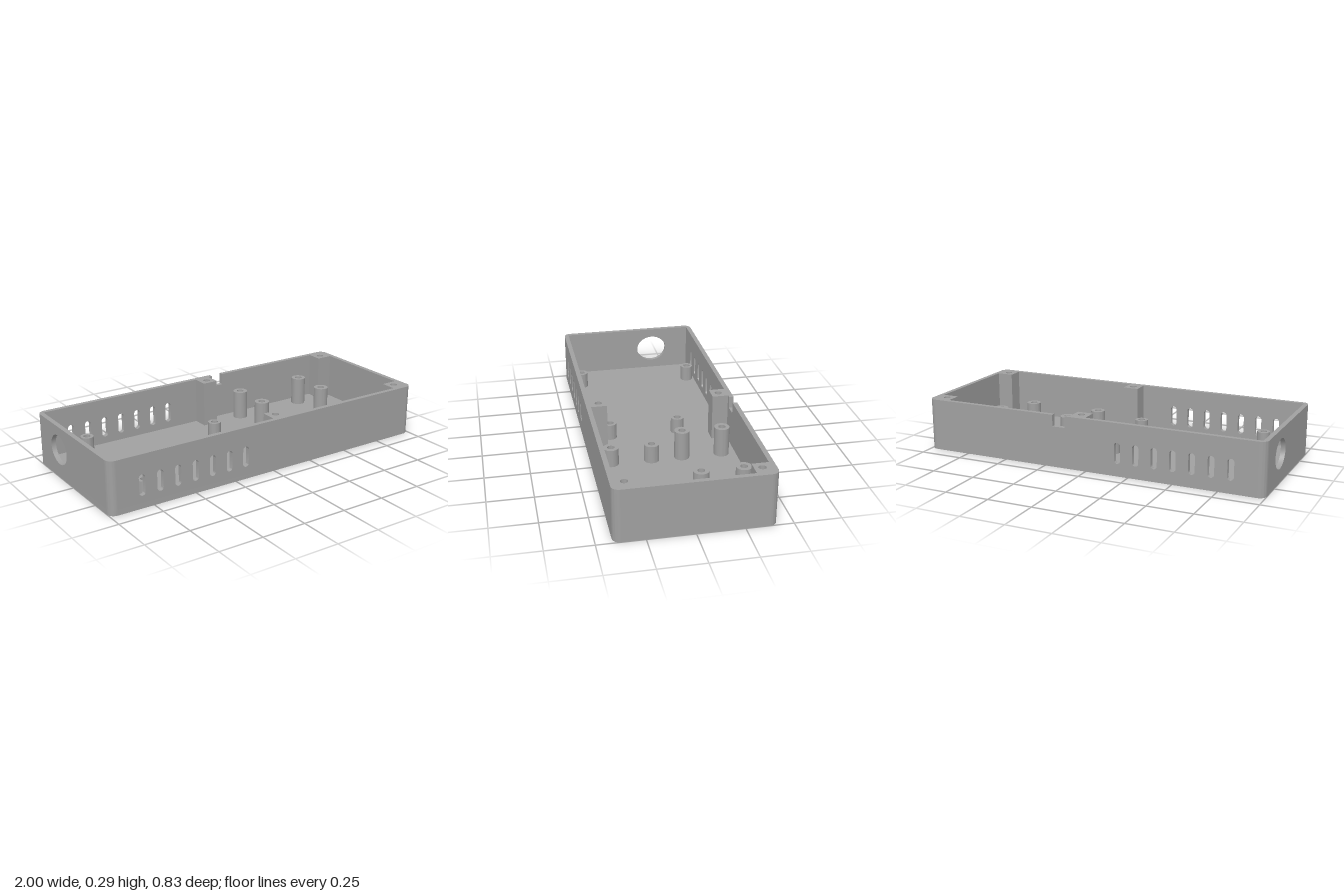
import * as THREE from 'three';
import { toCreasedNormals } from 'three/addons/utils/BufferGeometryUtils.js';

const W = 1, D = 0.415, H = 0.295;      // half width, half depth, height
const T = 0.026, R = 0.04;              // wall thickness, corner radius
const FLOOR = 0.03, POCKET = 0.014;     // floor thickness, foot pocket depth

const grey = new THREE.MeshStandardMaterial({ color: 0xa0a0a0 });
grey.name = 'grey plastic';

const polygon = (pts) => new THREE.Shape(pts.map(([x, y]) => new THREE.Vector2(x, y)));
const rect = (x0, y0, x1, y1) => polygon([[x0, y0], [x1, y0], [x1, y1], [x0, y1]]);

function circle(x, y, r, Type = THREE.Path) {
  const c = new Type();
  c.absarc(x, y, r, 0, Math.PI * 2, false);
  return c;
}

// Vertical round-ended slot
function slot(x, y0, y1, r) {
  const p = new THREE.Path();
  p.absarc(x, y1 - r, r, 0, Math.PI, false);
  p.absarc(x, y0 + r, r, Math.PI, Math.PI * 2, false);
  p.closePath();
  return p;
}

function roundedRect(w, d, r) {
  const s = new THREE.Shape();
  s.absarc(w - r, d - r, r, 0, Math.PI / 2, false);
  s.absarc(-w + r, d - r, r, Math.PI / 2, Math.PI, false);
  s.absarc(-w + r, -d + r, r, Math.PI, Math.PI * 1.5, false);
  s.absarc(w - r, -d + r, r, Math.PI * 1.5, Math.PI * 2, false);
  s.closePath();
  return s;
}

const extrude = (shape, depth) =>
  new THREE.ExtrudeGeometry(shape, { depth, bevelEnabled: false, curveSegments: 16 });

export function createModel() {
  const model = new THREE.Group();
  model.name = 'enclosure';

  const add = (name, geometry) => {
    const mesh = new THREE.Mesh(toCreasedNormals(geometry, 0.6), grey);
    mesh.name = name;
    model.add(mesh);
    return mesh;
  };
  // Plan outline (x, z) raised from y0 to y1
  const raise = (name, shape, y0, y1) =>
    add(name, extrude(shape, y1 - y0).rotateX(Math.PI / 2).translate(0, y1, 0));

  // Floor, with four round foot pockets underneath
  const underside = roundedRect(W, D, R);
  for (const x of [-0.85, 0.85])
    for (const z of [-0.255, 0.255]) underside.holes.push(circle(x, z, 0.078));
  raise('floorUnderside', underside, 0, POCKET);
  raise('floor', roundedRect(W, D, R), POCKET, FLOOR);

  // Long walls with vent slots; the back one has a cable notch in its rim
  const ventSlots = () =>
    Array.from({ length: 7 }, (_, i) => slot(-0.818 + i * 0.105, 0.07, 0.187, 0.018));
  const e = W - R;
  const front = rect(-e, FLOOR, e, H);
  front.holes = ventSlots();
  add('frontWall', extrude(front, T).translate(0, 0, D - T));
  const back = polygon([[-e, FLOOR], [e, FLOOR], [e, H], [0.198, H],
    [0.198, H - 0.065], [0.124, H - 0.065], [0.124, H], [-e, H]]);
  back.holes = ventSlots();
  add('backWall', extrude(back, T).translate(0, 0, -D));

  // End walls; the right one has a connector opening
  const f = D - R;
  add('leftWall', extrude(rect(-f, FLOOR, f, H), T).rotateY(Math.PI / 2).translate(W - T, 0, 0));
  const right = rect(-f, FLOOR, f, H);
  const opening = new THREE.Path();
  opening.absellipse(0.155, 0.162, 0.094, 0.082, 0, Math.PI * 2, false);
  right.holes.push(opening);
  add('rightWall', extrude(right, T).rotateY(Math.PI / 2).translate(-W, 0, 0));

  // Corners, round outside and square inside
  for (const sx of [-1, 1])
    for (const sz of [-1, 1]) {
      const pts = [];
      for (let i = 0; i <= 12; i++) {
        const a = (i / 12) * Math.PI / 2;
        pts.push([sx * (W - R + R * Math.cos(a)), sz * (D - R + R * Math.sin(a))]);
      }
      pts.push([sx * (W - R), sz * (D - T)], [sx * (W - T), sz * (D - T)], [sx * (W - T), sz * (D - R)]);
      raise('wallCorner', polygon(pts), FLOOR, H);
    }

  // Square lid posts with screw holes
  for (const [x0, x1, hx] of [[0.01, 0.1, 0.057], [0.88, W - T, 0.925]])
    for (const s of [-1, 1]) {
      const zs = [s * 0.3, s * (D - T)].sort((a, b) => a - b);
      const post = rect(x0, zs[0], x1, zs[1]);
      post.holes.push(circle(hx, s * 0.343, 0.02));
      raise('lidPost', post, FLOOR, H);
    }

  // Round board standoffs
  const standoff = (x, z, r, top) => {
    const ring = circle(x, z, r, THREE.Shape);
    ring.holes.push(circle(x, z, 0.02));
    raise('standoff', ring, FLOOR, top);
  };
  for (const [x, z] of [[-0.745, -0.342], [-0.763, 0.337], [-0.032, -0.126], [-0.032, 0.267]])
    standoff(x, z, 0.037, 0.12);
  for (const x of [0.278, 0.727])
    for (const z of [-0.31, -0.085, 0.085, 0.31]) standoff(x, z, 0.042, z < 0 ? 0.195 : 0.13);

  return model;
}
